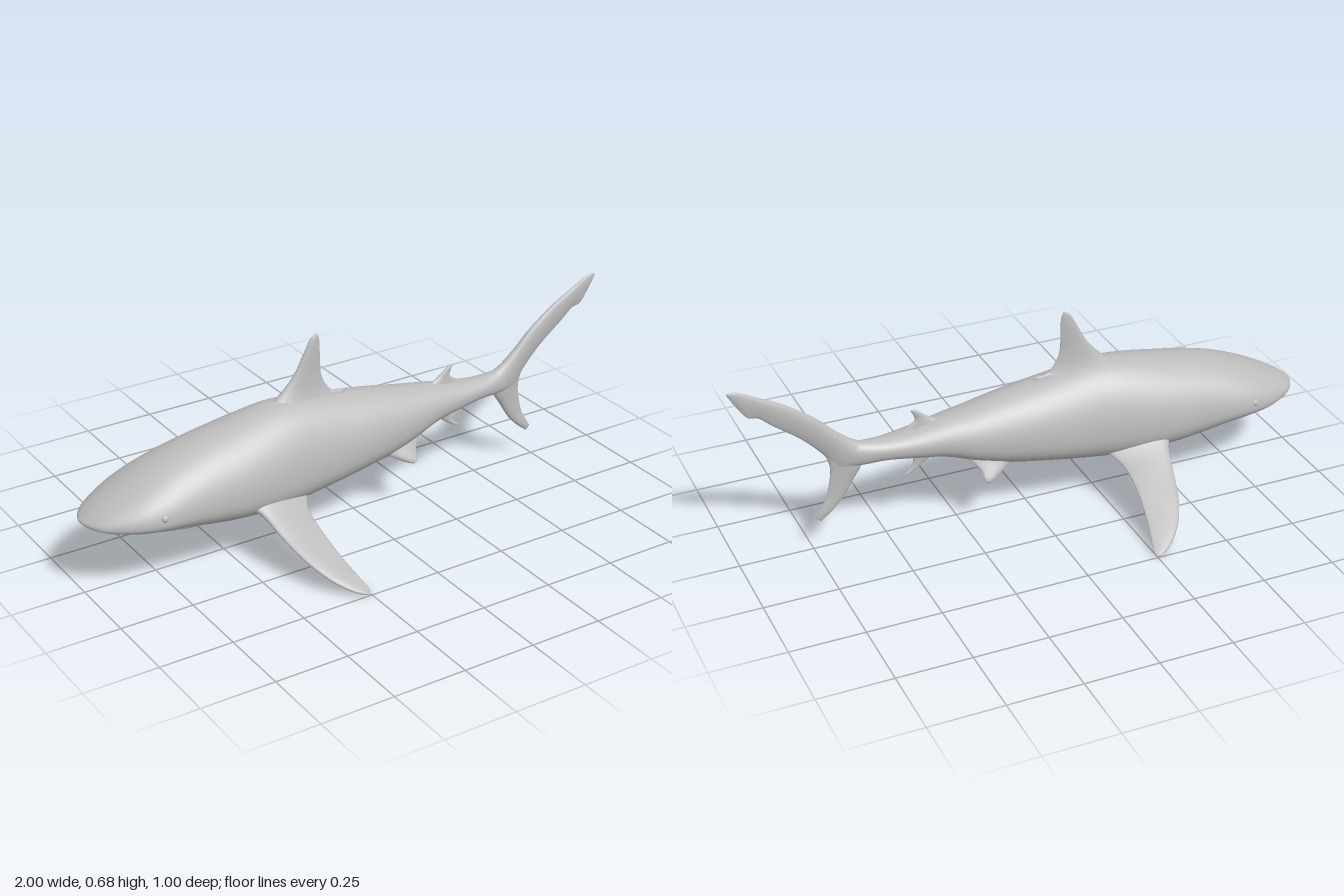
import * as THREE from 'three';

const hide = new THREE.MeshStandardMaterial({ color: 0xbcbcbc });
hide.name = 'grey hide';

// Smooth path through points, sampled so that matching paths stay in step
const path = (pts) => new THREE.CatmullRomCurve3(pts.map((p) => new THREE.Vector3(...p)));

// Skin a list of closed rings, cap both ends, and face the surface outwards
function loft(name, rings) {
  const n = rings[0].length, last = rings.length - 1;
  const verts = rings.flat();
  const centre = (r) => r.reduce((s, p) => s.add(p), new THREE.Vector3()).divideScalar(n);
  verts.push(centre(rings[0]), centre(rings[last]));
  const a0 = verts.length - 2, a1 = verts.length - 1;
  const index = [];
  for (let j = 0; j < n; j++) {
    const k = (j + 1) % n;
    for (let i = 0; i < last; i++) {
      const a = i * n + j, b = i * n + k;
      index.push(a, b, a + n, b, b + n, a + n);
    }
    index.push(a0, k, j, a1, last * n + j, last * n + k);
  }
  let volume = 0;
  const cross = new THREE.Vector3();
  for (let i = 0; i < index.length; i += 3) {
    volume += verts[index[i]].dot(cross.crossVectors(verts[index[i + 1]], verts[index[i + 2]]));
  }
  if (volume < 0) index.reverse();
  const geo = new THREE.BufferGeometry().setFromPoints(verts);
  geo.setIndex(index);
  geo.computeVertexNormals();
  const mesh = new THREE.Mesh(geo, hide);
  mesh.name = name;
  return mesh;
}

// Body form from stations of [x, bottom, top, half width, height of widest point]
function hull(name, stations, steps, sides = 48) {
  const heights = path(stations.map((s) => [s[0], s[1], s[2]]));
  const widths = path(stations.map((s) => [s[0], s[3], s[4]]));
  const rings = [];
  for (let i = 0; i <= steps; i++) {
    const { x, y: bottom, z: top } = heights.getPoint(i / steps);
    const { y: half, z: mid } = widths.getPoint(i / steps);
    const ring = [];
    for (let j = 0; j < sides; j++) {
      const a = (j / sides) * Math.PI * 2, c = Math.cos(a), s = Math.sin(a);
      const e = s < 0 ? 0.8 : 1; // fuller, flatter belly
      const z = half * Math.sign(c) * Math.abs(c) ** e;
      const y = mid + (s < 0 ? -(mid - bottom) * (-s) ** e : (top - mid) * s);
      ring.push(new THREE.Vector3(x, y, z));
    }
    rings.push(ring);
  }
  return loft(name, rings);
}

// Fin from matching leading and trailing edges, with half thickness from root to tip
function fin(name, lead, trail, thick, normal = [0, 0, 1], side = 1) {
  const flip = (p) => [p[0], p[1], (p[2] || 0) * side];
  const front = path(lead.map(flip)), back = path(trail.map(flip));
  const depth = path(thick.map((t, i) => [i, t, 0]));
  const n = new THREE.Vector3(...flip(normal)).normalize();
  const rings = [], steps = (lead.length - 1) * 6, sides = 24;
  for (let i = 0; i <= steps; i++) {
    const t = i / steps, f = front.getPoint(t), b = back.getPoint(t), d = depth.getPoint(t).y;
    const ring = [];
    for (let j = 0; j < sides; j++) {
      const a = (j / sides) * Math.PI * 2;
      const p = b.clone().lerp(f, (1 + Math.cos(a)) / 2);
      ring.push(p.addScaledVector(n, d * Math.sin(a) * (0.8 + 0.3 * Math.cos(a))));
    }
    rings.push(ring);
  }
  return loft(name, rings);
}

export function createModel() {
  const shark = new THREE.Group();
  shark.name = 'shark';

  // Trunk from snout to tail stalk
  shark.add(hull('body', [
    [-1, 0.252, 0.258, 0.012, 0.255],
    [-0.99, 0.243, 0.265, 0.042, 0.253],
    [-0.965, 0.234, 0.282, 0.08, 0.25],
    [-0.92, 0.222, 0.308, 0.114, 0.25],
    [-0.85, 0.21, 0.343, 0.147, 0.252],
    [-0.78, 0.2, 0.374, 0.162, 0.255],
    [-0.7, 0.187, 0.403, 0.166, 0.258],
    [-0.6, 0.163, 0.43, 0.166, 0.26],
    [-0.5, 0.149, 0.449, 0.168, 0.258],
    [-0.4, 0.142, 0.468, 0.163, 0.258],
    [-0.3, 0.14, 0.48, 0.153, 0.262],
    [-0.2, 0.149, 0.475, 0.142, 0.268],
    [-0.1, 0.163, 0.459, 0.135, 0.276],
    [0, 0.179, 0.444, 0.127, 0.286],
    [0.1, 0.197, 0.427, 0.115, 0.295],
    [0.2, 0.225, 0.407, 0.1, 0.305],
    [0.3, 0.26, 0.39, 0.08, 0.318],
    [0.4, 0.275, 0.371, 0.063, 0.322],
    [0.5, 0.286, 0.36, 0.046, 0.323],
    [0.58, 0.283, 0.366, 0.032, 0.325],
    [0.64, 0.29, 0.38, 0.018, 0.335],
    [0.69, 0.335, 0.385, 0.005, 0.36],
  ], 110));

  // Lower jaw set back under the snout
  shark.add(hull('lowerJaw', [
    [-0.845, 0.198, 0.215, 0.02, 0.207],
    [-0.835, 0.19, 0.22, 0.055, 0.207],
    [-0.8, 0.184, 0.225, 0.092, 0.207],
    [-0.73, 0.177, 0.225, 0.118, 0.21],
    [-0.64, 0.166, 0.225, 0.125, 0.21],
    [-0.52, 0.156, 0.225, 0.1, 0.21],
  ], 30, 32));

  // Fins on the centre line
  shark.add(fin('dorsalFin',
    [[-0.38, 0.43], [-0.285, 0.492], [-0.225, 0.555], [-0.185, 0.625], [-0.16, 0.668], [-0.142, 0.68]],
    [[0, 0.41], [-0.09, 0.475], [-0.122, 0.53], [-0.127, 0.61], [-0.129, 0.658], [-0.136, 0.678]],
    [0.06, 0.028, 0.016, 0.012, 0.008, 0.003]));
  shark.add(fin('dorsalFinRearTip',
    [[-0.14, 0.44], [-0.1, 0.47], [-0.06, 0.462], [-0.037, 0.461]],
    [[-0.05, 0.42], [-0.03, 0.435], [-0.03, 0.447], [-0.033, 0.459]],
    [0.02, 0.012, 0.006, 0.002]));
  shark.add(fin('secondDorsalFin',
    [[0.26, 0.37], [0.33, 0.397], [0.365, 0.422], [0.385, 0.436], [0.397, 0.438]],
    [[0.45, 0.352], [0.415, 0.378], [0.387, 0.4], [0.392, 0.42], [0.4, 0.434]],
    [0.02, 0.012, 0.008, 0.006, 0.002]));
  shark.add(fin('analFin',
    [[0.28, 0.29], [0.33, 0.258], [0.37, 0.23], [0.405, 0.207], [0.425, 0.2]],
    [[0.44, 0.295], [0.4, 0.265], [0.398, 0.24], [0.415, 0.215], [0.43, 0.203]],
    [0.02, 0.014, 0.009, 0.006, 0.002]));

  // Tail: long upper lobe with a notch near its tip, short lower lobe
  shark.add(fin('upperTailLobe',
    [[0.53, 0.352], [0.59, 0.373], [0.65, 0.418], [0.72, 0.485], [0.82, 0.557],
      [0.9, 0.6], [0.945, 0.624], [0.975, 0.635], [0.996, 0.634]],
    [[0.58, 0.29], [0.645, 0.27], [0.695, 0.34], [0.765, 0.415], [0.86, 0.49],
      [0.905, 0.527], [0.935, 0.535], [0.975, 0.59], [0.998, 0.63]],
    [0.036, 0.03, 0.022, 0.018, 0.014, 0.012, 0.01, 0.007, 0.003]));
  shark.add(fin('lowerTailLobe',
    [[0.57, 0.34], [0.575, 0.28], [0.605, 0.23], [0.64, 0.175], [0.68, 0.132], [0.72, 0.1]],
    [[0.7, 0.36], [0.68, 0.29], [0.686, 0.235], [0.7, 0.18], [0.722, 0.14], [0.737, 0.115]],
    [0.022, 0.02, 0.015, 0.012, 0.01, 0.004]));

  // Paired fins and eyes
  for (const [label, side] of [['right', 1], ['left', -1]]) {
    shark.add(fin(label + 'PectoralFin',
      [[-0.5, 0.225, 0.1], [-0.452, 0.19, 0.17], [-0.43, 0.143, 0.25], [-0.4, 0.092, 0.35],
        [-0.355, 0.048, 0.43], [-0.3, 0.015, 0.48], [-0.262, 0.003, 0.497]],
      [[-0.24, 0.19, 0.1], [-0.278, 0.16, 0.17], [-0.284, 0.13, 0.25], [-0.274, 0.08, 0.35],
        [-0.257, 0.038, 0.43], [-0.246, 0.01, 0.48], [-0.25, 0.003, 0.495]],
      [0.045, 0.022, 0.015, 0.013, 0.011, 0.008, 0.003], [0, 0.88, 0.47], side));
    shark.add(fin(label + 'PelvicFin',
      [[0.05, 0.25, 0.05], [0.085, 0.215, 0.075], [0.12, 0.193, 0.093], [0.15, 0.178, 0.104], [0.17, 0.171, 0.11]],
      [[0.26, 0.27, 0.04], [0.215, 0.235, 0.068], [0.192, 0.205, 0.09], [0.188, 0.185, 0.104], [0.182, 0.174, 0.11]],
      [0.03, 0.018, 0.012, 0.008, 0.003], [0, 0.58, 0.81], side));

    const eye = new THREE.Mesh(new THREE.SphereGeometry(0.012, 16, 12), hide);
    eye.name = label + 'Eye';
    eye.position.set(-0.785, 0.272, 0.156 * side);
    eye.scale.z = 0.7;
    shark.add(eye);
  }
  return shark;
}
